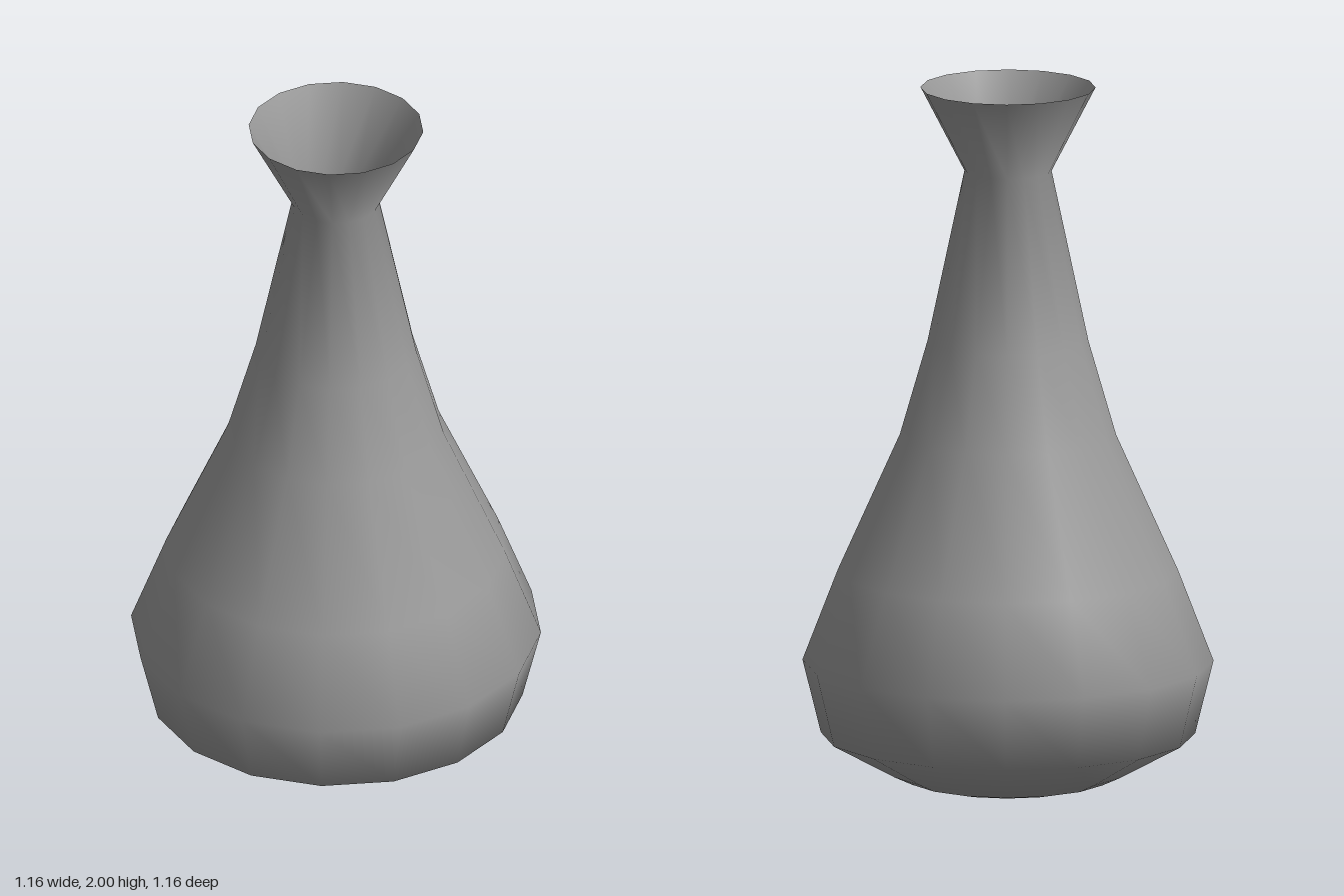
import * as THREE from 'three';

const SIDES = 16;

// Lathe whose smooth normals weigh the two slopes meeting at each ring equally
function smoothLathe(profile) {
  const geometry = new THREE.LatheGeometry(profile, SIDES);
  const slopes = profile.slice(1).map((p, j) => {
    const d = p.clone().sub(profile[j]).normalize();
    return new THREE.Vector2(d.y, -d.x);
  });
  const last = slopes.length;
  const ringNormals = profile.map((p, j) =>
    slopes[Math.max(j - 1, 0)].clone().add(slopes[Math.min(j, last - 1)]).normalize());
  const normals = geometry.attributes.normal;
  for (let i = 0; i < normals.count; i++) {
    const n = ringNormals[i % profile.length];
    const angle = Math.floor(i / profile.length) / SIDES * Math.PI * 2;
    normals.setXYZ(i, n.x * Math.sin(angle), n.y, n.x * Math.cos(angle));
  }
  return geometry;
}

export function createModel() {
  const group = new THREE.Group();
  group.name = 'vase';
  const material = new THREE.MeshStandardMaterial({ color: 0x999999, side: THREE.DoubleSide });

  // Thin open wall: flat floor, rounded foot, wide belly, narrow neck, flared mouth
  const profile = [
    [0, 0], [0.24, 0], [0.29, 0.012], [0.345, 0.038], [0.528, 0.14], [0.58, 0.35],
    [0.48, 0.61], [0.305, 1.0], [0.227, 1.27], [0.123, 1.76], [0.247, 2],
  ].map(([r, y]) => new THREE.Vector2(r, y));
  const body = new THREE.Mesh(smoothLathe(profile), material);
  body.name = 'body';

  group.add(body);
  return group;
}
